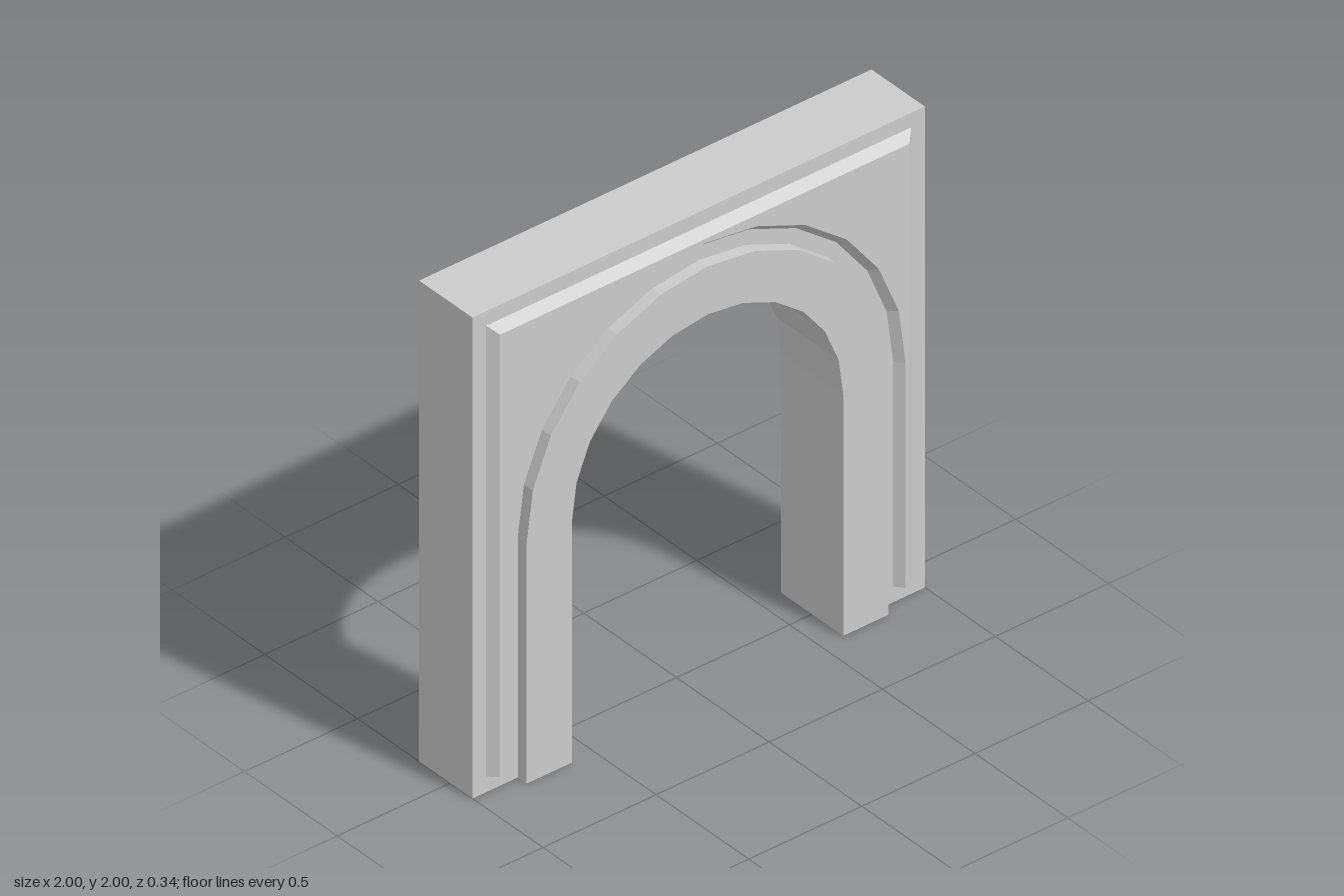
import * as THREE from 'three';

const SPRING = 1;            // height where the arch curve begins
const SEGMENTS = 12;         // facets in each half circle
const BACK = -0.168, WALL = 0.12, PANEL = 0.153, TRIM = 0.168;

const material = new THREE.MeshStandardMaterial({ color: 0xcccccc, flatShading: true });

// Arch line from the left foot over the top to the right foot (or back again)
function archLine(radius, foot, reverse = false) {
  const points = [new THREE.Vector2(-radius, foot)];
  for (let i = 0; i <= SEGMENTS; i++) {
    const a = Math.PI * (1 - i / SEGMENTS);
    points.push(new THREE.Vector2(radius * Math.cos(a), SPRING + radius * Math.sin(a)));
  }
  points.push(new THREE.Vector2(radius, foot));
  return reverse ? points.reverse() : points;
}

// Square-headed outline with an arched opening, counter-clockwise
function portalOutline(halfWidth, top, radius, foot) {
  return [
    new THREE.Vector2(halfWidth, foot),
    new THREE.Vector2(halfWidth, top),
    new THREE.Vector2(-halfWidth, top),
    new THREE.Vector2(-halfWidth, foot),
    ...archLine(radius, foot),
  ];
}

function slab(name, outline, z0, z1) {
  const geometry = new THREE.ExtrudeGeometry(new THREE.Shape(outline), { depth: z1 - z0, bevelEnabled: false });
  geometry.translate(0, 0, z0);
  const mesh = new THREE.Mesh(geometry, material);
  mesh.name = name;
  return mesh;
}

// Sloping sides between two matching outlines, closed by a flat front
function bevelledPanel(name, base, face, z0, z1) {
  const positions = [];
  const put = (p, z) => positions.push(p.x, p.y, z);
  base.forEach((a, i) => {
    const j = (i + 1) % base.length;
    const b = base[j], c = face[j], d = face[i];
    put(a, z0); put(b, z0); put(c, z1);
    put(a, z0); put(c, z1); put(d, z1);
  });
  for (const triangle of THREE.ShapeUtils.triangulateShape(face, [])) {
    triangle.forEach((k) => put(face[k], z1));
  }
  const geometry = new THREE.BufferGeometry();
  geometry.setAttribute('position', new THREE.Float32BufferAttribute(positions, 3));
  geometry.computeVertexNormals();
  const mesh = new THREE.Mesh(geometry, material);
  mesh.name = name;
  return mesh;
}

export function createModel() {
  const group = new THREE.Group();
  group.name = 'archway';

  // Main wall with the arched opening
  group.add(slab('wall', portalOutline(1, 2, 0.6, 0), BACK, WALL));

  // Raised band around the opening
  const band = [...archLine(0.8, 0, true), ...archLine(0.6, 0)];
  group.add(slab('archTrim', band, WALL, TRIM));

  // Raised panel filling the corners above the arch
  group.add(bevelledPanel(
    'spandrelPanel',
    portalOutline(0.94, 1.94, 0.86, 0.065),
    portalOutline(0.905, 1.905, 0.888, 0.065),
    WALL, PANEL,
  ));

  return group;
}
